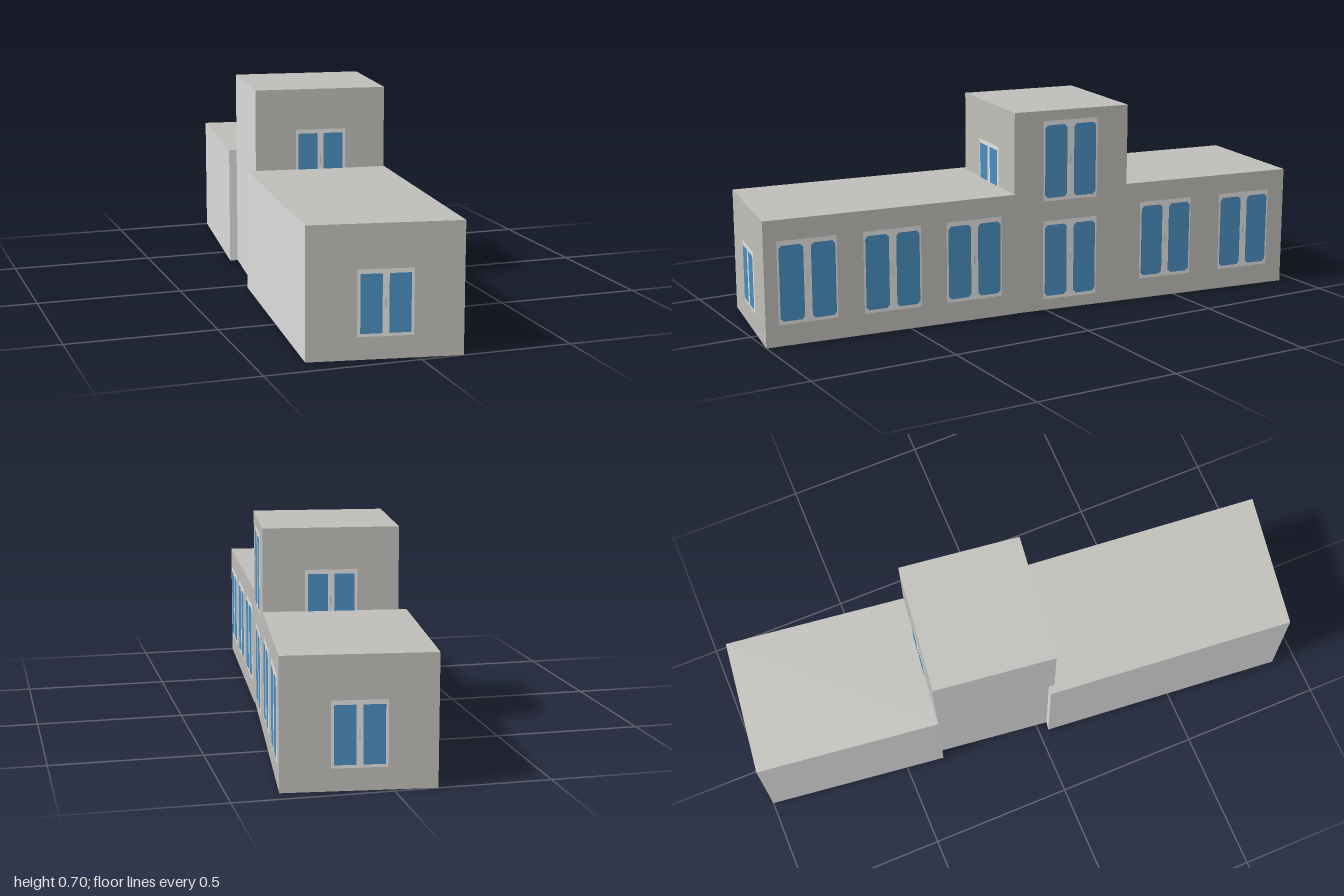
import * as THREE from 'three';

function material(name, color) {
  const mat = new THREE.MeshStandardMaterial({ color });
  mat.name = name;
  return mat;
}
const wallMat = material('wallGrey', 0xbfbdb8);
const plainMat = material('plainLightGrey', 0xdbdbdb);
const frameMat = material('frameLightGrey', 0xe2e2e1);
const glassMat = material('glassBlue', 0x4a8ebf);

// Flat plate with chamfered corners, lying z in front of the wall
function plate(name, mat, w, h, cut, z, x = 0, y = 0) {
  const a = w / 2, b = h / 2;
  const shape = new THREE.Shape([
    [-a + cut, -b], [a - cut, -b], [a, -b + cut], [a, b - cut],
    [a - cut, b], [-a + cut, b], [-a, b - cut], [-a, -b + cut],
  ].map(([px, py]) => new THREE.Vector2(px, py)));
  const mesh = new THREE.Mesh(new THREE.ShapeGeometry(shape), mat);
  mesh.name = name;
  mesh.position.set(x, y, z);
  return mesh;
}

// Double window: frame plate, two panes and a small handle
function makeWindow(name, { w, h, side, edge, gap, cut }) {
  const g = new THREE.Group();
  g.name = name;
  g.add(plate('windowFrame', frameMat, w, h, 0.001, 0.0015));
  const pw = (w - gap) / 2 - side;
  for (const s of [-1, 1]) {
    g.add(plate('windowPane', glassMat, pw, h - 2 * edge, cut, 0.003, s * (gap + pw) / 2, -0.002));
  }
  g.add(plate('windowHandle', wallMat, 0.004, 0.03, 0.001, 0.003));
  return g;
}

const sideWindow = { w: 0.203, h: 0.28, side: 0.006, edge: 0.0135, gap: 0.026, cut: 0.01 };
const endWindow = { w: 0.175, h: 0.21, side: 0.009, edge: 0.012, gap: 0.021, cut: 0.001 };

// Footprints as [x, z]: front left, front right, back right, back left.
// sideAt lists [z, y] of the windows on the long wall.
const blocks = [
  {
    name: 'frontWing', height: 0.422,
    foot: [[-0.344, 0.917], [0.138, 1], [0.215, 0.114], [-0.265, 0.035]],
    sideAt: [[0.855, 0.212], [0.562, 0.212], [0.268, 0.212]], frontY: 0.177,
  },
  {
    name: 'tower', height: 0.703,
    foot: [[-0.239, 0.06], [0.212, 0.116], [0.264, -0.306], [-0.188, -0.361]],
    sideAt: [[-0.09, 0.179], [-0.09, 0.528]], frontY: 0.457, backY: 0.457,
  },
  {
    name: 'backWing', height: 0.422,
    foot: [[-0.216, -0.364], [0.264, -0.306], [0.343, -0.943], [-0.137, -1]],
    sideAt: [[-0.461, 0.212], [-0.778, 0.212]], backY: 0.177,
  },
];

// Put an object on the wall running a to b (left to right from outside)
function mount(obj, a, b, t, y) {
  const dx = b[0] - a[0], dz = b[1] - a[1];
  obj.position.set(a[0] + dx * t, y, a[1] + dz * t);
  obj.rotation.y = Math.atan2(-dz, dx);
  return obj;
}

// Flat slab face from a footprint: dir 1 faces up, -1 faces down
function slab(name, mat, foot, y, dir) {
  const shape = new THREE.Shape(foot.map(([x, z]) => new THREE.Vector2(x, -dir * z)));
  const mesh = new THREE.Mesh(new THREE.ShapeGeometry(shape).rotateX(-dir * Math.PI / 2), mat);
  mesh.name = name;
  mesh.position.y = y;
  return mesh;
}

export function createModel() {
  const model = new THREE.Group();
  model.name = 'building';
  for (const { name, height, foot, sideAt, frontY, backY } of blocks) {
    const part = new THREE.Group();
    part.name = name;

    // Walls: those without windows are plain
    const finished = [frontY, true, backY, false];
    ['frontWall', 'leftWall', 'backWall', 'rightWall'].forEach((wallName, i) => {
      const a = foot[i], b = foot[(i + 1) % 4];
      const length = Math.hypot(b[0] - a[0], b[1] - a[1]);
      const wall = new THREE.Mesh(new THREE.PlaneGeometry(length, height), finished[i] ? wallMat : plainMat);
      wall.name = wallName;
      part.add(mount(wall, a, b, 0.5, height / 2));
    });
    part.add(slab('roof', wallMat, foot, height, 1), slab('floor', plainMat, foot, 0, -1));

    // Windows
    const [fl, fr, br, bl] = foot;
    for (const [z, y] of sideAt) {
      const t = (z - fr[1]) / (br[1] - fr[1]);
      part.add(mount(makeWindow('sideWindow', sideWindow), fr, br, t, y));
    }
    if (frontY) part.add(mount(makeWindow('frontWindow', endWindow), fl, fr, 0.502, frontY));
    if (backY) part.add(mount(makeWindow('backWindow', endWindow), br, bl, 0.502, backY));
    model.add(part);
  }
  return model;
}
